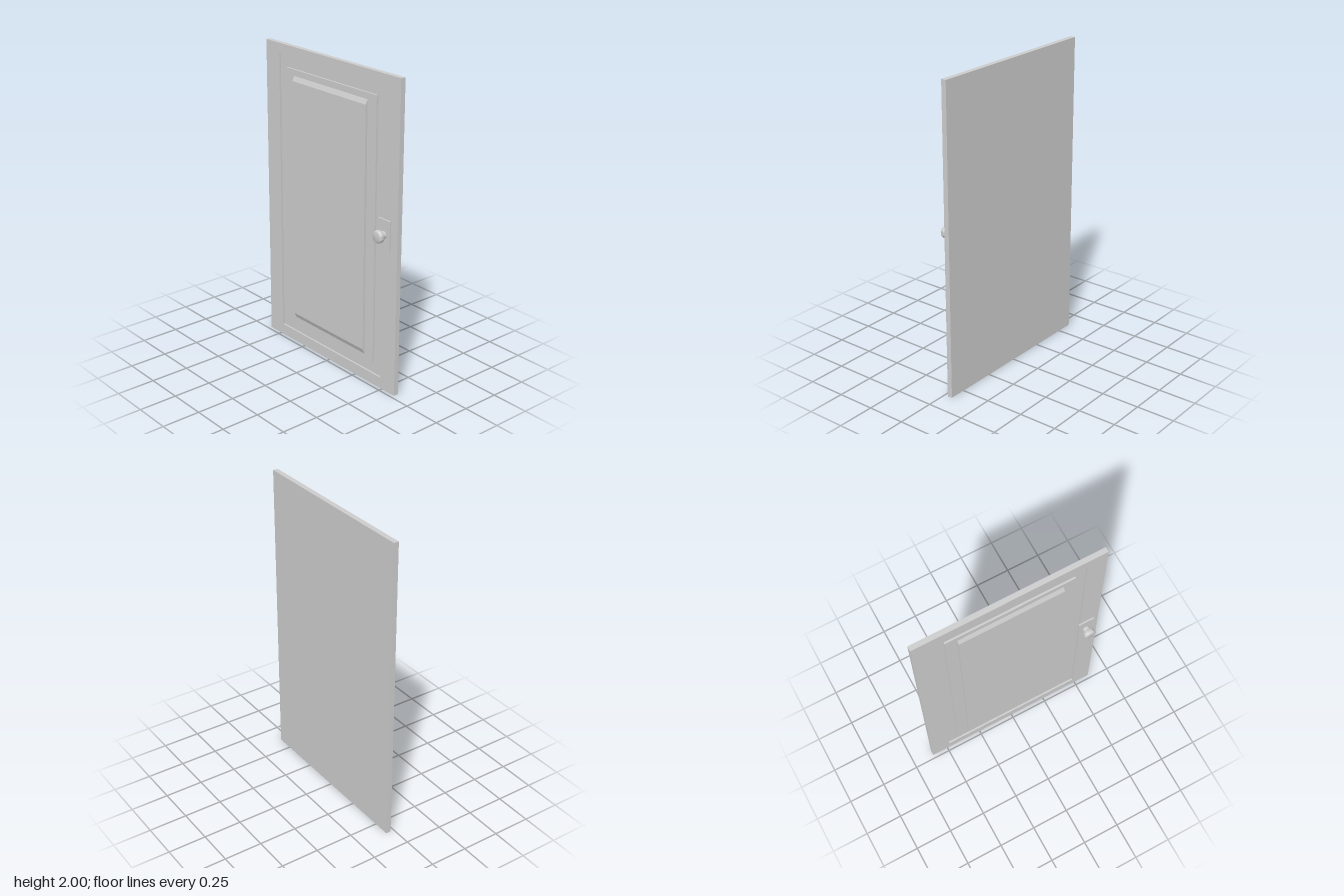
import * as THREE from 'three';
import { toCreasedNormals } from 'three/addons/utils/BufferGeometryUtils.js';

const grey = new THREE.MeshStandardMaterial({ color: 0xcccccc });

// Depth levels, back to front
const BACK = -0.057, GROOVE = -0.036, FACE = -0.024, PANEL = -0.009;

function add(group, name, geometry) {
  const mesh = new THREE.Mesh(geometry, grey);
  mesh.name = name;
  group.add(mesh);
  return mesh;
}

// Box given by its limits
function slab(x0, x1, y0, y1, z0, z1) {
  return new THREE.BoxGeometry(x1 - x0, y1 - y0, z1 - z0)
    .translate((x0 + x1) / 2, (y0 + y1) / 2, (z0 + z1) / 2);
}

function polygon(points, Type = THREE.Shape) {
  return new Type(points.map(([x, y]) => new THREE.Vector2(x, y)));
}

function rectangle(w, y0, y1, Type) {
  return polygon([[-w, y0], [w, y0], [w, y1], [-w, y1]], Type);
}

export function createModel() {
  const door = new THREE.Group();
  door.name = 'cabinetDoor';

  // Backing board, whose front is the floor of the groove
  add(door, 'backBoard', slab(-0.61, 0.61, 0, 2, BACK, GROOVE));

  // Outer frame around the groove
  const frame = rectangle(0.61, 0, 2);
  frame.holes.push(rectangle(0.482, 0.073, 1.932, THREE.Path));
  add(door, 'frame', new THREE.ExtrudeGeometry(frame, { depth: FACE - GROOVE, bevelEnabled: false })
    .translate(0, 0, GROOVE));

  // Field inside the groove
  add(door, 'innerField', slab(-0.413, 0.413, 0.153, 1.86, GROOVE, FACE));

  // Raised panel: straight sides, sloped top and bottom (profile in z, y swept along x)
  const profile = polygon([[-FACE, 0.18], [-FACE, 1.82], [-PANEL, 1.79], [-PANEL, 0.213]]);
  add(door, 'raisedPanel', new THREE.ExtrudeGeometry(profile, { depth: 0.672, bevelEnabled: false })
    .translate(0, 0, -0.336).rotateY(Math.PI / 2));

  // Knob with its mounting plate
  const handle = new THREE.Group();
  handle.name = 'handle';
  handle.position.set(0.515, 1.042, 0);
  door.add(handle);
  add(handle, 'plate', slab(-0.052, 0.052, -0.096, 0.096, -0.012, -0.002));

  const neck = new THREE.CylinderGeometry(0.024, 0.024, 0.03, 32).rotateX(Math.PI / 2);
  add(handle, 'neck', neck.translate(0, 0, 0.011));

  const outline = [
    [0, 0.024], [0.034, 0.024], [0.038, 0.026], [0.04, 0.03], [0.04, 0.045],
    [0.0385, 0.051], [0.035, 0.055], [0.03, 0.057], [0, 0.057],
  ].map(([r, y]) => new THREE.Vector2(r, y));
  const knob = new THREE.LatheGeometry(outline, 32).rotateX(Math.PI / 2);
  add(handle, 'knob', toCreasedNormals(knob, 0.6));

  return door;
}
